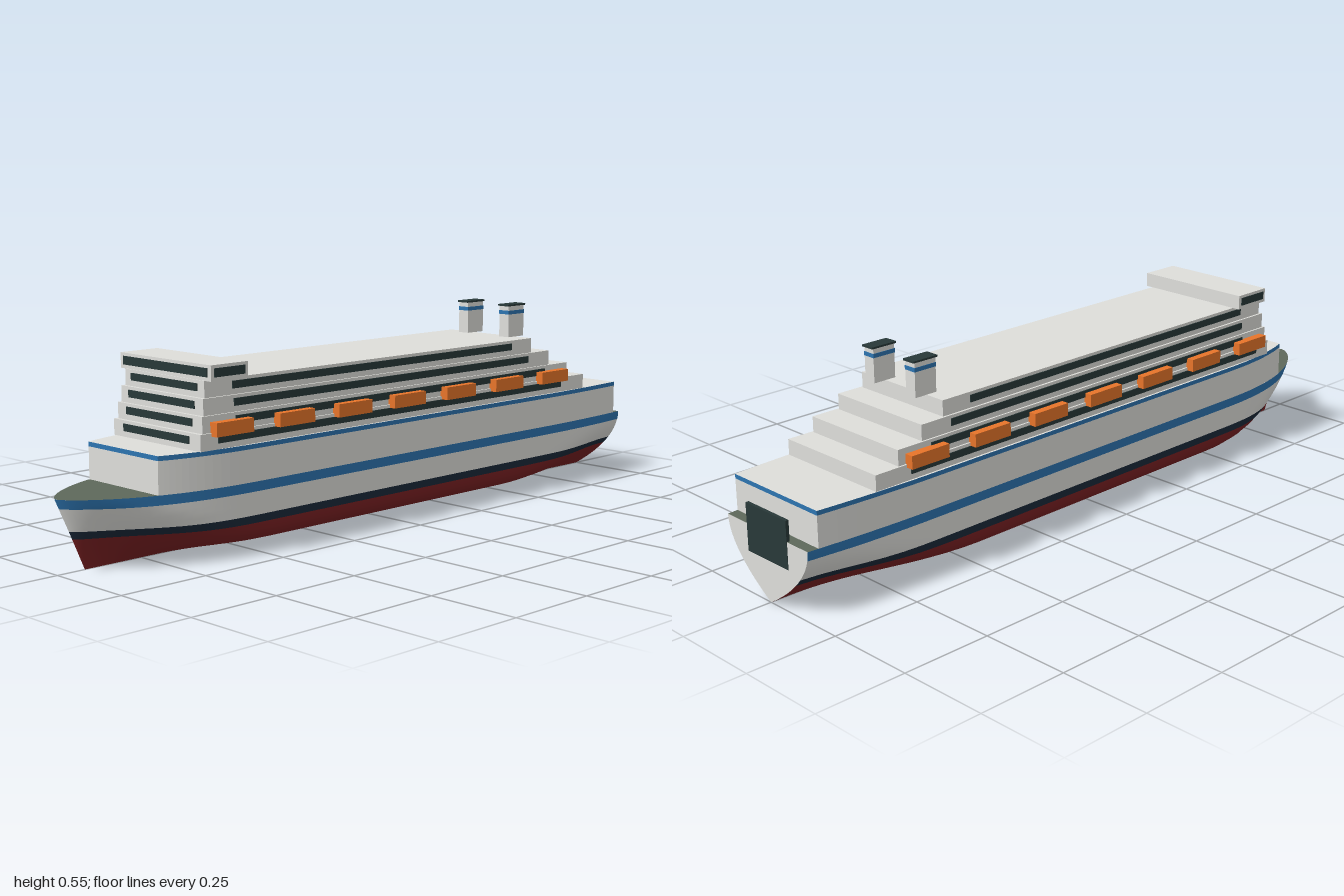
import * as THREE from 'three';

const mat = (name, color) => Object.assign(new THREE.MeshStandardMaterial({ color }), { name });
const white = mat('white paint', 0xdededa);
const blue = mat('blue stripe', 0x2d74b0);
const navy = mat('navy waterline', 0x1a2838);
const red = mat('red antifouling', 0x7a2022);
const green = mat('green deck', 0x5e685a);
const glass = mat('dark glass', 0x283838);
const orange = mat('orange lifeboat', 0xe8752a);

const DECK = 0.185; // main deck height
const smooth = (a, b, v) => THREE.MathUtils.smoothstep(v, a, b);
const lerp = THREE.MathUtils.lerp;

// Half-width of the main deck along the ship, bow at -x
function beam(x) {
  if (x < -0.5) return 0.178 * Math.pow(Math.max(0, 1 - Math.pow((-0.5 - x) / 0.5, 2.4)), 0.72);
  return 0.178 - 0.018 * Math.pow(Math.max(0, (x - 0.65) / 0.35), 1.7);
}

// Point on the hull skin: round-bilged amidships, V-shaped at both ends
function hullPoint(x, y, side) {
  const bow = 1 - smooth(-1, -0.45, x);
  const stern = smooth(0.45, 1, x);
  const n = lerp(lerp(4.7, 1.1, bow), 1.92, stern);
  const h = lerp(0.1, DECK, Math.max(bow, stern));
  const w = beam(x) * (1 - Math.pow(Math.max(0, 1 - y / h), n));
  const rake = 0.08 * (1 - y / DECK) * Math.max(0, (-0.4 - x) / 0.6);
  return [x + rake, y, side * w];
}

// Stations, closer together at the bow
const stations = [];
for (let i = 0; i <= 56; i++) stations.push(-1 + 2 * Math.pow(i / 56, 1.6));

const group = () => new THREE.Group();
function add(parent, name, geometry, material) {
  const m = new THREE.Mesh(geometry, material);
  m.name = name;
  parent.add(m);
  return m;
}
// Box given by its limits
function box(parent, name, material, x0, x1, y0, y1, z0, z1) {
  const m = add(parent, name, new THREE.BoxGeometry(x1 - x0, y1 - y0, z1 - z0), material);
  m.position.set((x0 + x1) / 2, (y0 + y1) / 2, (z0 + z1) / 2);
  return m;
}

// One painted band of the hull skin on one side
function hullBand(rows, side) {
  const pos = [], idx = [], n = rows.length;
  stations.forEach(x => rows.forEach(y => pos.push(...hullPoint(x, y, side))));
  for (let i = 0; i < stations.length - 1; i++) {
    for (let j = 0; j < n - 1; j++) {
      const a = i * n + j, b = a + n, c = b + 1, d = a + 1;
      if (side > 0) idx.push(a, b, c, a, c, d);
      else idx.push(a, c, b, a, d, c);
    }
  }
  const g = new THREE.BufferGeometry();
  g.setAttribute('position', new THREE.Float32BufferAttribute(pos, 3));
  g.setIndex(idx);
  g.computeVertexNormals();
  return g;
}

// Deck outline between two positions along the ship
function plan(x0, x1, steps = 48) {
  const pts = [];
  for (let i = 0; i <= steps; i++) {
    const x = lerp(x0, x1, Math.pow(i / steps, 1.5));
    pts.push(new THREE.Vector2(x, -beam(x)));
  }
  const mirrored = pts.map(p => new THREE.Vector2(p.x, -p.y)).reverse();
  return new THREE.Shape([...pts, ...mirrored.filter(p => p.y > 1e-5)]);
}

function layer(x0, x1, y0, y1) {
  const g = new THREE.ExtrudeGeometry(plan(x0, x1), { depth: y1 - y0, bevelEnabled: false });
  return g.rotateX(-Math.PI / 2).translate(0, y0, 0);
}

export function createModel() {
  const ship = group();
  ship.name = 'cruiseFerry';

  // Hull skin in painted bands
  const bands = [
    ['hullBottom', red, [0, 0.004, 0.01, 0.018, 0.027, 0.037, 0.05, 0.065, 0.08]],
    ['waterlineBand', navy, [0.08, 0.09, 0.1]],
    ['hullSide', white, [0.1, 0.115, 0.13, 0.145, 0.16]],
    ['sheerStripe', blue, [0.16, 0.172, DECK]],
  ];
  for (const [name, material, rows] of bands)
    for (const side of [1, -1]) add(ship, name, hullBand(rows, side), material);

  // Flat transom and stern door
  const half = [];
  for (let i = 0; i <= 14; i++) {
    const p = hullPoint(1, (DECK * i) / 14, 1);
    half.push(new THREE.Vector2(p[2], p[1]));
  }
  const outline = [...half, ...half.slice(1).reverse().map(p => new THREE.Vector2(-p.x, p.y))];
  add(ship, 'transom', new THREE.ShapeGeometry(new THREE.Shape(outline))
    .rotateY(Math.PI / 2).translate(1, 0, 0), white);
  box(ship, 'sternDoor', glass, 0.992, 1.001, 0.112, 0.24, -0.08, 0.08);

  // Main deck and the upper hull standing on it
  add(ship, 'mainDeck', new THREE.ShapeGeometry(plan(-1, 1)).rotateX(-Math.PI / 2)
    .translate(0, DECK, 0), green);
  add(ship, 'upperHull', layer(-0.8, 0.97, DECK, 0.269), white);
  add(ship, 'upperStripe', layer(-0.8, 0.97, 0.269, 0.281), [white, blue]);

  // Stepped decks: front, aft, half-width, window start and end
  const tiers = [
    [-0.695, 0.8, 0.172, -0.64, 0.69],
    [-0.685, 0.725, 0.167, -0.58, 0.62],
    [-0.677, 0.645, 0.162, -0.58, 0.55],
    [-0.668, 0.57, 0.156, -0.58, 0.48],
  ];
  tiers.forEach(([x0, x1, w, a, b], i) => {
    const y = 0.281 + i * 0.0423;
    box(ship, 'deckTier', white, x0, x1, y, y + 0.0423, -w, w);
    for (const s of [1, -1]) {
      const z = s * (w + 0.001);
      box(ship, 'sideWindows', glass, a, b, y + 0.015, y + 0.034, z - 0.002, z + 0.002);
    }
    box(ship, 'frontWindows', glass, x0 - 0.003, x0 + 0.002, y + 0.015, y + 0.034, -0.13, 0.13);
  });

  // Bridge with wings
  box(ship, 'bridge', white, -0.665, -0.547, 0.45, 0.49, -0.178, 0.178);
  box(ship, 'bridgeFrontWindows', glass, -0.668, -0.663, 0.46, 0.482, -0.165, 0.165);
  for (const s of [1, -1]) {
    const z = s * 0.1785;
    box(ship, 'bridgeSideWindows', glass, -0.655, -0.557, 0.46, 0.482, z - 0.002, z + 0.002);
  }

  // Twin funnels
  for (const s of [1, -1]) {
    const z = s * 0.079;
    box(ship, 'funnel', white, 0.538, 0.606, 0.45, 0.541, z - 0.0175, z + 0.0175);
    box(ship, 'funnelStripe', blue, 0.537, 0.607, 0.517, 0.528, z - 0.0185, z + 0.0185);
    box(ship, 'funnelCap', glass, 0.533, 0.611, 0.541, 0.546, z - 0.0195, z + 0.0195);
  }

  // Lifeboats along both sides
  for (let i = 0; i < 7; i++) {
    const x = -0.6 + i * 0.207;
    for (const s of [1, -1]) {
      const z = s * 0.179;
      box(ship, 'lifeboat', orange, x - 0.06, x + 0.06, 0.315, 0.35, z - 0.0125, z + 0.0125);
    }
  }
  return ship;
}
